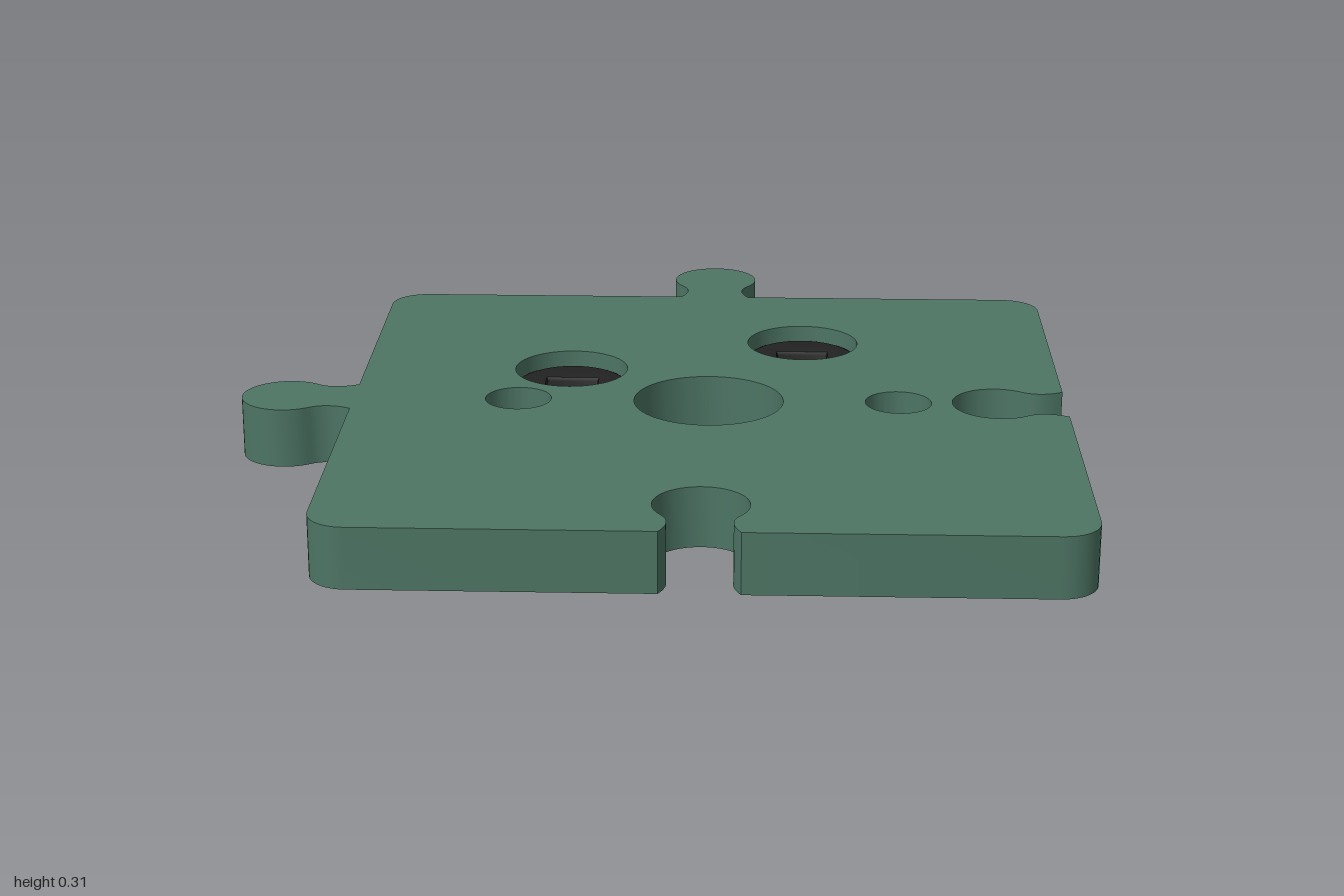
import * as THREE from 'three';
import { toCreasedNormals } from 'three/addons/utils/BufferGeometryUtils.js';

const V = (x, y) => new THREE.Vector2(x, y);
const material = (color) => new THREE.MeshStandardMaterial({ color });
const green = material(0x4d7564);
const black = material(0x222222);
const metal = material(0xcccccc);

function part(name, geometry, mat, parent) {
  const mesh = new THREE.Mesh(geometry, mat);
  mesh.name = name;
  parent.add(mesh);
  return mesh;
}

// Plan shape (x, -z) raised from y0 to y1
function slab(shape, y0, y1, bevel = 0) {
  const geo = new THREE.ExtrudeGeometry(shape, {
    depth: y1 - y0 - 2 * bevel, curveSegments: 40, bevelEnabled: bevel > 0,
    bevelSize: bevel, bevelThickness: bevel, bevelOffset: -bevel, bevelSegments: 2,
  });
  geo.rotateX(-Math.PI / 2).translate(0, y0 + bevel, 0);
  return toCreasedNormals(geo, 0.6);
}

// Section in (z, y) swept along x from x0 to x1
function sweepX(shape, x0, x1) {
  const geo = new THREE.ExtrudeGeometry(shape, { depth: x1 - x0, bevelEnabled: false });
  return geo.rotateY(Math.PI / 2).translate(x0, 0, 0);
}

// Sheet metal strip following a polyline
function ribbon(points, t) {
  const side = (s) => points.map((p, i) => {
    const a = points[Math.max(i - 1, 0)], b = points[Math.min(i + 1, points.length - 1)];
    const d = b.clone().sub(a).normalize();
    return V(p.x - d.y * t * s / 2, p.y + d.x * t * s / 2);
  });
  return new THREE.Shape([...side(1), ...side(-1).reverse()]);
}

function circleHole(x, z, r) {
  const path = new THREE.Path();
  path.absarc(x, -z, r, 0, Math.PI * 2, true);
  return path;
}

function rectPath(x, z, w, h) {
  return new THREE.Path([V(x - w / 2, -z - h / 2), V(x - w / 2, -z + h / 2),
    V(x + w / 2, -z + h / 2), V(x + w / 2, -z - h / 2)]);
}

// Jigsaw knob (sign 1) or socket (sign -1) on an edge running along angle
function jigsaw(x, y, angle, sign) {
  const r = 0.109, depth = 0.165, half = 0.085;
  const end = Math.PI - Math.asin(half / r);
  const joinY = depth + r * Math.cos(end);
  const flare = new THREE.QuadraticBezierCurve(V(-0.09, 0), V(-0.0585, 0.055), V(-half, joinY)).getPoints(8);
  const local = [...flare];
  for (let i = 1; i < 40; i++) {
    const a = -end + 2 * end * i / 40;
    local.push(V(r * Math.sin(a), depth + r * Math.cos(a)));
  }
  local.push(...flare.map((p) => V(-p.x, p.y)).reverse());
  const c = Math.cos(angle), s = Math.sin(angle);
  return local.map((p) => V(x + c * p.x + s * p.y * sign, y + s * p.x - c * p.y * sign));
}

function plateShape() {
  const lo = -0.725, hi = 1, r = 0.09, q = Math.PI / 2;
  const corner = (x, y, start) => Array.from({ length: 11 }, (_, i) => {
    const a = start + q * i / 10;
    return V(x + r * Math.cos(a), y + r * Math.sin(a));
  });
  return new THREE.Shape([
    ...corner(lo + r, -hi + r, 2 * q),
    ...jigsaw(0.133, -hi, 0, -1),
    ...corner(hi - r, -hi + r, 3 * q),
    ...jigsaw(hi, -0.133, q, -1),
    ...corner(hi - r, -lo - r, 0),
    ...jigsaw(0.138, -lo, 2 * q, 1),
    ...corner(lo + r, -lo - r, q),
    ...jigsaw(lo, -0.133, 3 * q, 1),
  ]);
}

// Offset socket outline; pockets leave the two ends open for the contacts
function bodyShape(pockets) {
  const s = new THREE.Shape();
  s.moveTo(-0.41, -0.045);
  s.lineTo(-0.39, -0.065);
  s.lineTo(-0.12, -0.065);
  s.bezierCurveTo(-0.03, -0.065, -0.04, 0.11, 0.09, 0.11);
  s.lineTo(0.565, 0.11);
  s.lineTo(0.58, 0.125);
  if (pockets) [[0.58, 0.25], [0.25, 0.25], [0.25, 0.41], [0.58, 0.41]].forEach((p) => s.lineTo(...p));
  s.lineTo(0.58, 0.455);
  s.lineTo(0.565, 0.47);
  s.lineTo(-0.16, 0.47);
  s.bezierCurveTo(-0.32, 0.47, -0.41, 0.38, -0.41, 0.25);
  if (pockets) [[-0.41, 0.18], [-0.1, 0.18], [-0.1, 0.02], [-0.41, 0.02]].forEach((p) => s.lineTo(...p));
  return s;
}

// Spring contact with a folded solder tab pointing to +x
function makeContact() {
  const g = new THREE.Group();
  const halfFold = [V(0.028, 0.006), V(0.055, 0.006), V(0.068, 0.012), V(0.073, 0.025),
    V(0.073, 0.132), V(0.068, 0.146), V(0.055, 0.152)];
  const fold = [...halfFold, ...halfFold.map((p) => V(-p.x, p.y)).reverse()];
  part('solderTab', sweepX(ribbon(fold, 0.011), 0.2, 0.373), metal, g);
  for (const s of [-1, 1]) {
    const leaf = [V(s * 0.035, 0.25), V(s * 0.017, 0.17), V(s * 0.017, 0.11), V(s * 0.035, 0.03)];
    part('springLeaf', sweepX(ribbon(leaf, 0.01), -0.062, 0.062), metal, g);
    const rail = new THREE.BoxGeometry(0.27, 0.08, 0.012);
    part('contactRail', rail, metal, g).position.set(0.075, 0.07, s * 0.055);
    const web = new THREE.BoxGeometry(0.12, 0.01, 0.025);
    part('contactWeb', web, metal, g).position.set(0, 0.035, s * 0.044);
    const barb = new THREE.Shape([V(s * 0.07, 0.115), V(s * 0.09, 0.08), V(s * 0.07, 0.045)]);
    part('retainingBarb', sweepX(barb, 0.21, 0.24), metal, g);
  }
  return g;
}

// Small two-lead component beside the socket
function makeDiode() {
  const g = new THREE.Group();
  g.name = 'diode';
  const section = new THREE.Shape([V(-0.055, 0.05), V(0.055, 0.05), V(0.068, 0.1),
    V(0.058, 0.155), V(-0.058, 0.155), V(-0.068, 0.1)]);
  const body = new THREE.ExtrudeGeometry(section, { depth: 0.24, bevelEnabled: false });
  part('diodeBody', body.translate(0, 0, -0.12), black, g);
  for (const s of [-1, 1]) {
    const lead = [V(s * 0.11, 0.1), V(s * 0.142, 0.1), V(s * 0.15, 0.108),
      V(s * 0.155, 0.145), V(s * 0.162, 0.155), V(s * 0.173, 0.157)];
    part('diodeLead', sweepX(ribbon(lead, 0.012), -0.03, 0.03), metal, g);
  }
  g.position.set(-0.56, 0, 0.285);
  return g;
}

export function createModel() {
  const model = new THREE.Group();
  const posts = [[0.37, -0.33], [-0.21, -0.1]];

  // Jigsaw plate with switch holes
  const plate = plateShape();
  plate.holes.push(circleHole(0.137, 0.133, 0.181), circleHole(-0.325, 0.133, 0.08),
    circleHole(0.596, 0.133, 0.08), ...posts.map(([x, z]) => circleHole(x, z, 0.14)));
  part('plate', slab(plate, 0.17, 0.315), green, model);

  // Socket housing below the plate
  const socket = new THREE.Group();
  socket.name = 'socket';
  model.add(socket);
  part('housing', slab(bodyShape(true), 0, 0.12), black, socket);
  const lid = bodyShape(false);
  lid.holes.push(...posts.map(([x, z]) => rectPath(x, z, 0.125, 0.08)));
  part('housingTop', slab(lid, 0.12, 0.16), black, socket);

  // Slotted posts rising into the plate, each with its contact
  posts.forEach(([x, z], i) => {
    const ring = new THREE.Shape();
    ring.absarc(x, -z, 0.137, 0, Math.PI * 2, false);
    ring.holes.push(rectPath(x, z, 0.125, 0.08));
    part('post', slab(ring, 0.16, 0.28, 0.012), black, socket);
    const contact = makeContact();
    contact.name = i ? 'rightContact' : 'leftContact';
    contact.position.set(x, 0, z);
    contact.rotation.y = i * Math.PI;
    socket.add(contact);
  });

  model.add(makeDiode());
  return model;
}
